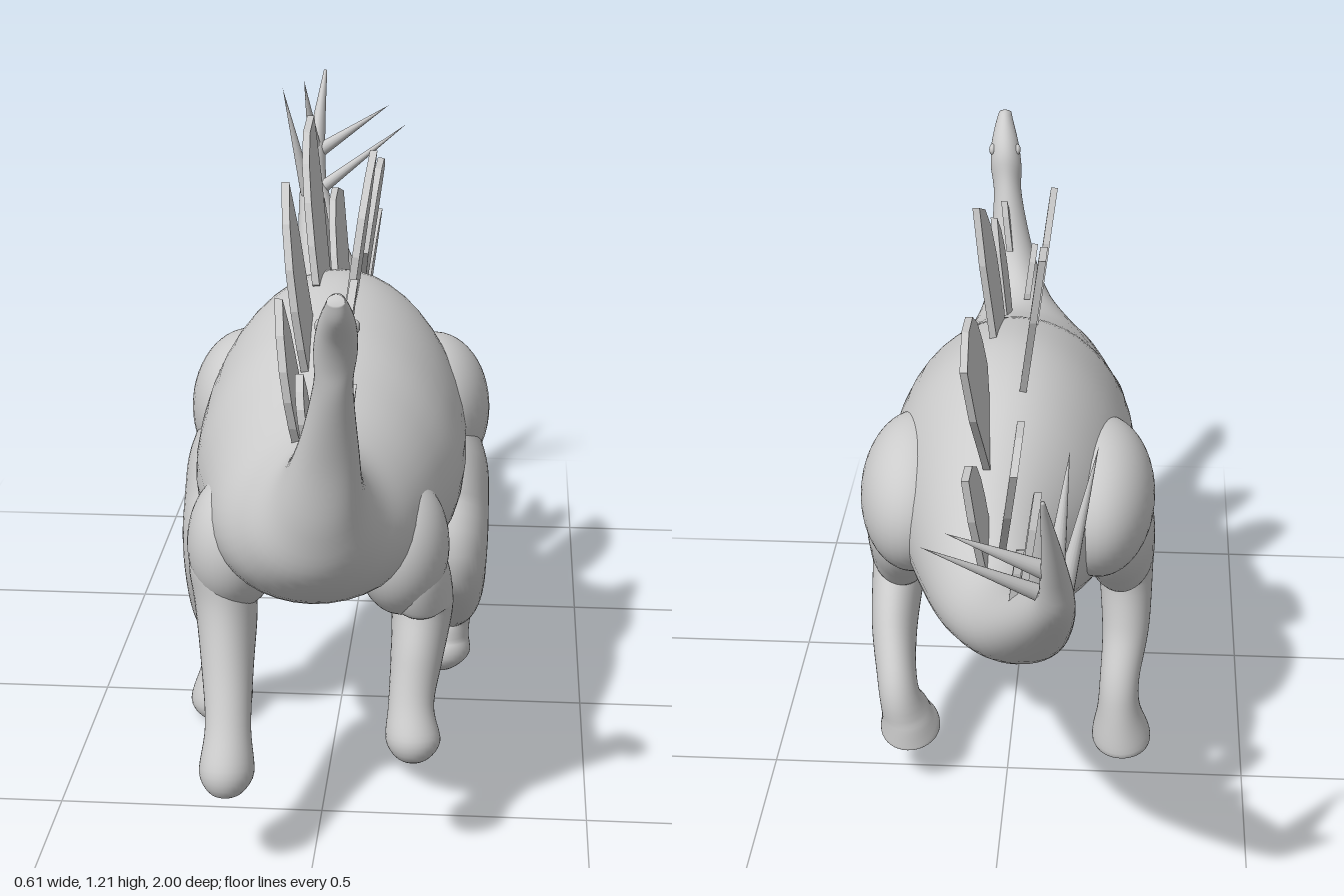
import * as THREE from 'three';

const material = new THREE.MeshStandardMaterial({ color: 0xcccccc });

function add(group, geometry, name) {
  const mesh = new THREE.Mesh(geometry, material);
  mesh.name = name;
  group.add(mesh);
  return mesh;
}

// Uniform Catmull-Rom through rows of numbers
function smoothRows(rows, steps = 6) {
  const at = (i) => rows[Math.min(Math.max(i, 0), rows.length - 1)];
  const out = [];
  for (let i = 0; i < rows.length - 1; i++) {
    const [a, b, c, d] = [at(i - 1), at(i), at(i + 1), at(i + 2)];
    for (let s = 0; s < steps; s++) {
      const t = s / steps;
      out.push(b.map((v, k) => 0.5 * (2 * v + (c[k] - a[k]) * t
        + (2 * a[k] - 5 * v + 4 * c[k] - d[k]) * t * t
        + (3 * v - a[k] - 3 * c[k] + d[k]) * t * t * t)));
    }
  }
  out.push(rows[rows.length - 1]);
  return out;
}

// Skin over oval rings [x, halfWidth, z1, y1, z2, y2];
// points 1 and 2 are opposite edges of the side outline
function loft(rows, egg = 0, sides = 40) {
  const tip = ([x, , z1, y1, z2, y2]) => {
    const z = (z1 + z2) / 2, y = (y1 + y2) / 2;
    return [x, 0, z, y, z, y];
  };
  const rings = [tip(rows[0]), ...rows, tip(rows[rows.length - 1])];
  const position = [], index = [];
  rings.forEach(([x, w, z1, y1, z2, y2], i) => {
    for (let j = 0; j < sides; j++) {
      const a = (j / sides) * Math.PI * 2, c = Math.cos(a);
      position.push(
        x + w * Math.sin(a) * (1 - egg * c),
        (y1 + y2 + c * (y1 - y2)) / 2,
        (z1 + z2 + c * (z1 - z2)) / 2);
      if (i < rings.length - 1) {
        const k = (j + 1) % sides, p = i * sides, q = p + sides;
        index.push(p + j, p + k, q + j, p + k, q + k, q + j);
      }
    }
  });
  const g = new THREE.BufferGeometry();
  g.setAttribute('position', new THREE.Float32BufferAttribute(position, 3));
  g.setIndex(index);
  g.computeVertexNormals();
  return g;
}

// Limb along a path of [x, halfWidth, z, y, halfDepth], rings square to the path
function limb(path) {
  const rows = smoothRows(path);
  return loft(rows.map(([x, w, z, y, d], i) => {
    const a = rows[Math.max(i - 1, 0)], b = rows[Math.min(i + 1, rows.length - 1)];
    const dz = b[2] - a[2], dy = b[3] - a[3], k = d / Math.hypot(dz, dy);
    return [x, w, z + dy * k, y - dz * k, z - dy * k, y + dz * k];
  }));
}
const mirror = (path) => path.map(([x, ...rest]) => [-x, ...rest]);

// Ellipsoid with its radii, for muscles and eyes
function ellipsoid(group, name, [x, y, z], [rx, ry, rz], tilt = 0) {
  const mesh = add(group, new THREE.SphereGeometry(1, 40, 28).scale(rx, ry, rz).rotateX(tilt), name);
  mesh.position.set(x, y, z);
}

// Head, neck, trunk and tail in one skin
const bodyRows = [
  [.066, .014, .985, 1.155, 1.0, 1.14],
  [.066, .02, .962, 1.15, .99, 1.108],
  [.063, .031, .915, 1.12, .957, 1.062],
  [.059, .035, .882, 1.08, .936, 1.015],
  [.054, .032, .862, 1.01, .922, .955],
  [.042, .05, .81, .895, .885, .83],
  [.025, .075, .75, .835, .86, .7],
  [.008, .12, .67, .815, .82, .6],
  [0, .175, .58, .825, .71, .52],
  [0, .22, .45, .865, .5, .455],
  [0, .25, .3, .915, .33, .4],
  [0, .25, .1, .945, .12, .39],
  [0, .215, -.08, .905, -.02, .405],
  [.012, .15, -.26, .795, -.2, .465],
  [-.01, .11, -.42, .73, -.4, .535],
  [-.06, .083, -.57, .765, -.6, .625],
  [-.125, .038, -.8, .905, -.85, .84],
  [-.13, .022, -.88, 1.0, -.92, .96],
  [-.115, .004, -.994, 1.152, -1.0, 1.147],
];

// Limb paths: shared upper parts, then each lower part in its stride
const thigh = [
  [.2, .06, .045, .66, .12],
  [.215, .08, .09, .57, .13],
  [.226, .075, .145, .49, .115],
  [.24, .06, .19, .415, .09],
];
const shoulder = [
  [.165, .05, .56, .58, .085],
  [.176, .057, .555, .53, .1],
];
const leftShin = [
  [.245, .048, .08, .3, .078],
  [.23, .042, -.015, .215, .058],
  [.212, .052, -.02, .15, .066],
  [.205, .062, -.012, .108, .077],
  [.205, .034, -.01, .081, .045],
];
const rightShin = [
  [-.245, .05, .145, .28, .06],
  [-.235, .042, .09, .18, .049],
  [-.235, .046, .083, .115, .058],
  [-.242, .063, .094, .035, .078],
  [-.242, .036, .094, .004, .046],
];
const leftForearm = [
  [.187, .056, .54, .455, .09],
  [.18, .047, .595, .37, .066],
  [.173, .041, .64, .3, .045],
  [.178, .049, .66, .24, .058],
  [.178, .028, .662, .21, .032],
];
const rightForearm = [
  [-.165, .056, .58, .455, .09],
  [-.157, .047, .64, .365, .06],
  [-.15, .041, .7, .275, .044],
  [-.15, .049, .73, .198, .06],
  [-.15, .028, .733, .166, .034],
];

// Back plates: x, root z and y, tip z and y, breadth
const plates = [
  [.045, .815, .89, .825, .99, .05],
  [.055, .755, .83, .755, .92, .08],
  [-.005, .7, .83, .7, .935, .1],
  [.055, .665, .8, .67, .91, .09],
  [-.03, .615, .83, .645, 1.05, .165],
  [.035, .52, .85, .53, 1.055, .15],
  [-.035, .36, .88, .355, 1.185, .22],
  [.035, .24, .92, .165, 1.205, .25],
  [-.035, .05, .92, -.135, 1.21, .26],
  [.035, -.13, .89, -.335, 1.07, .29],
  [-.02, -.29, .78, -.54, .965, .25],
  [.02, -.385, .75, -.5, .935, .18],
  [-.065, -.53, .77, -.555, .945, .13],
  [-.05, -.655, .79, -.685, .9, .08],
];
// Leaf outline: fraction of height, fraction of breadth towards the front
const leaf = [[-.12, .4], [.08, .5], [.32, .55], [.56, .51], [.8, .33], [1, 0],
  [.66, -.22], [.35, -.3], [0, -.4], [-.12, -.4]];

function plateGeometry([x, z, y, tipZ, tipY, breadth]) {
  const dz = tipZ - z, dy = tipY - y, k = breadth / Math.hypot(dz, dy);
  const outline = leaf.map(([s, b]) =>
    new THREE.Vector2(-(z + dz * s + dy * k * b), y + dy * s - dz * k * b));
  const g = new THREE.ExtrudeGeometry(new THREE.Shape(outline), { depth: 0.014, bevelEnabled: false });
  g.translate(0, 0, -0.007).rotateY(Math.PI / 2);
  // lean outwards with height
  const p = g.attributes.position;
  for (let i = 0; i < p.count; i++) p.setX(i, p.getX(i) + x + Math.sign(x) * 0.13 * (p.getY(i) - y));
  g.computeVertexNormals();
  return g;
}

// Tail spikes: root and tip
const spikes = [
  [[-.14, .88, -.82], [-.195, 1.145, -.78]],
  [[-.13, .97, -.895], [-.15, 1.155, -.825]],
  [[-.135, .885, -.825], [.08, 1.035, -.935]],
  [[-.125, .975, -.895], [.038, 1.075, -.962]],
];

export function createModel() {
  const model = new THREE.Group();
  add(model, loft(smoothRows(bodyRows), 0.12), 'body');
  add(model, limb([...thigh, ...leftShin]), 'leftHindLeg');
  add(model, limb([...mirror(thigh), ...rightShin]), 'rightHindLeg');
  add(model, limb([...shoulder, ...leftForearm]), 'leftForeleg');
  add(model, limb([...mirror(shoulder), ...rightForearm]), 'rightForeleg');

  // Haunches, shoulders and eyes
  for (const [side, label] of [[1, 'left'], [-1, 'right']]) {
    ellipsoid(model, `${label}Haunch`, [side * .185, .655, .02], [.112, .15, .19], -.15);
    ellipsoid(model, `${label}Shoulder`, [side * .15, .575, .56], [.085, .125, .12]);
    ellipsoid(model, `${label}Eye`, [.062 + side * .028, 1.083, .913], [.008, .011, .013], -.8);
  }

  plates.forEach((plate, i) => add(model, plateGeometry(plate), `backPlate${i + 1}`));

  spikes.forEach(([root, tip], i) => {
    const start = new THREE.Vector3(...root), dir = new THREE.Vector3(...tip).sub(start);
    const length = dir.length();
    const spike = add(model, new THREE.ConeGeometry(0.017, length, 16).translate(0, length / 2, 0), `tailSpike${i + 1}`);
    spike.quaternion.setFromUnitVectors(new THREE.Vector3(0, 1, 0), dir.normalize());
    spike.position.copy(start);
  });
  return model;
}
